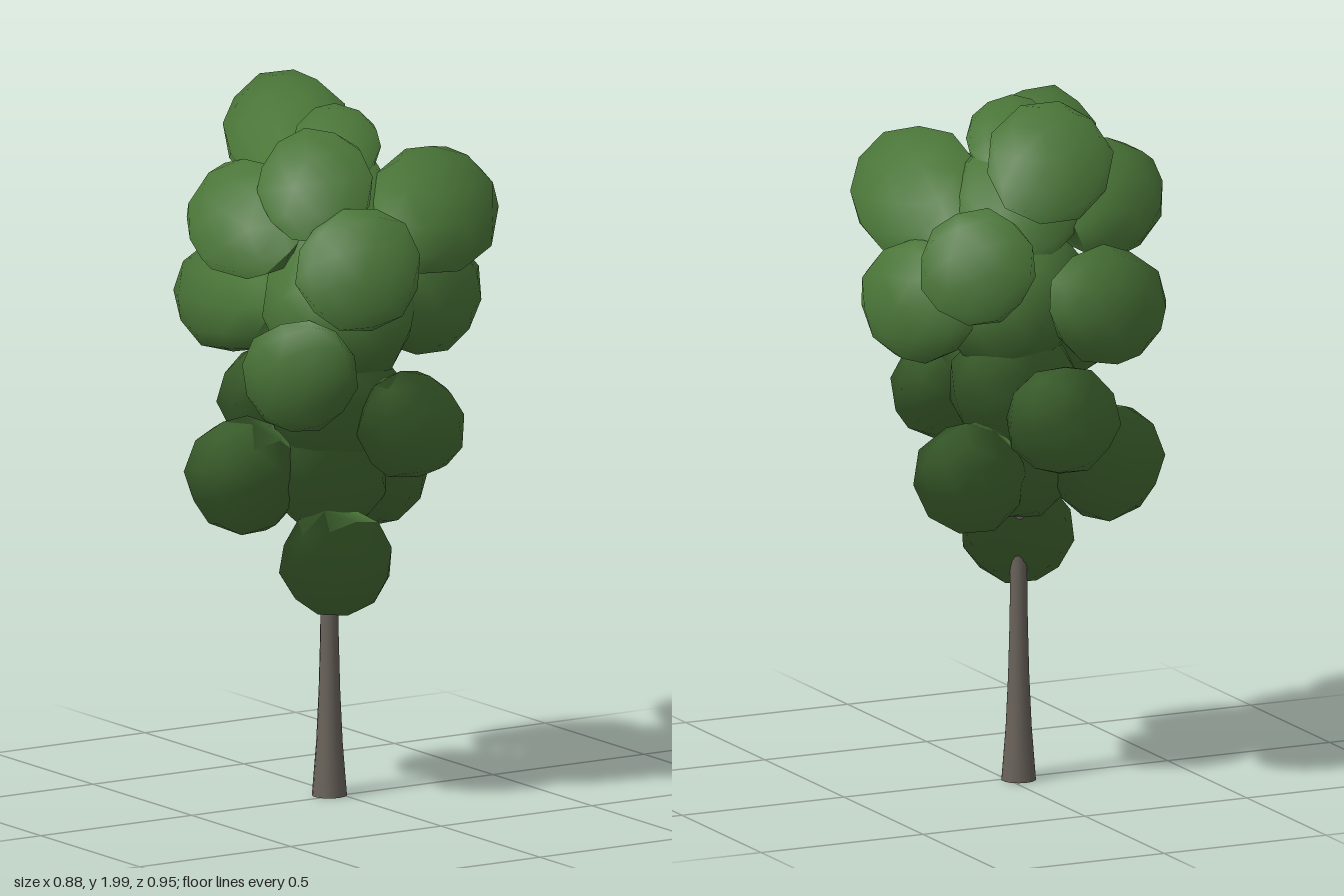
import * as THREE from 'three';

// Leaf clumps: x, y, z, radius
const CLUMPS = [
  [0.015, 1.825, -0.31, 0.174], [0, 1.83, -0.03, 0.124], [-0.175, 1.77, 0.12, 0.163],
  [0.2, 1.66, 0.155, 0.186], [-0.145, 1.56, 0.3, 0.176], [-0.27, 1.65, -0.08, 0.17],
  [0.2, 1.53, -0.235, 0.165], [-0.175, 1.39, -0.275, 0.168], [0.262, 1.39, 0, 0.173],
  [-0.25, 1.245, 0.165, 0.162], [0.08, 1.08, 0.22, 0.153], [-0.03, 1.08, -0.295, 0.158],
  [0.15, 0.89, -0.08, 0.157], [-0.24, 0.91, -0.13, 0.168], [-0.08, 0.69, 0.085, 0.157],
];
// Inner clumps filling the middle of the crown
const CORE = [
  [-0.02, 1.66, -0.04, 0.185], [-0.01, 1.39, 0, 0.22], [-0.02, 1.12, -0.01, 0.185], [-0.04, 0.91, -0.01, 0.165],
];
const CROWN_CENTRE = new THREE.Vector3(0, 1.35, 0);

// Faceted ball with uneven bumps; normals lean away from the crown centre for soft foliage shading
function clumpGeometry([x, y, z, r], seed) {
  const geo = new THREE.IcosahedronGeometry(1, 1);
  geo.rotateX(seed * 1.3).rotateY(seed * 2.1);
  const pos = geo.attributes.position;
  const normal = geo.attributes.normal;
  const v = new THREE.Vector3();
  const local = new THREE.Vector3();
  for (let i = 0; i < pos.count; i++) {
    local.fromBufferAttribute(pos, i);
    const bump = 1 + 0.05 * Math.sin(local.x * 9 + seed) * Math.cos(local.y * 8 + local.z * 7 - seed);
    v.set(x, y, z).addScaledVector(local, r * bump);
    pos.setXYZ(i, v.x, v.y, v.z);
    v.sub(CROWN_CENTRE).normalize().addScaledVector(local, 0.6).normalize();
    normal.setXYZ(i, v.x, v.y, v.z);
  }
  return geo;
}

export function createModel() {
  const tree = new THREE.Group();
  tree.name = 'tree';
  const leaf = new THREE.MeshStandardMaterial({ color: 0x4a7538 });
  leaf.name = 'leaf green';
  const bark = new THREE.MeshStandardMaterial({ color: 0x69625a, side: THREE.DoubleSide });
  bark.name = 'bark grey';

  // Trunk, open and flared at the foot, running up into the crown
  const profile = [[0.049, 0], [0.037, 0.15], [0.03, 0.3], [0.026, 0.45], [0.024, 0.6], [0.022, 0.85]]
    .map(([r, y]) => new THREE.Vector2(r, y));
  const trunk = new THREE.Mesh(new THREE.LatheGeometry(profile, 14), bark);
  trunk.name = 'trunk';
  trunk.position.set(-0.03, 0, -0.02);
  tree.add(trunk);

  // Crown of overlapping clumps
  const crown = new THREE.Group();
  crown.name = 'crown';
  [...CLUMPS, ...CORE].forEach((c, i) => {
    const clump = new THREE.Mesh(clumpGeometry(c, i + 1), leaf);
    clump.name = i < CLUMPS.length ? 'leafClump' : 'innerClump';
    crown.add(clump);
  });
  tree.add(crown);
  return tree;
}
